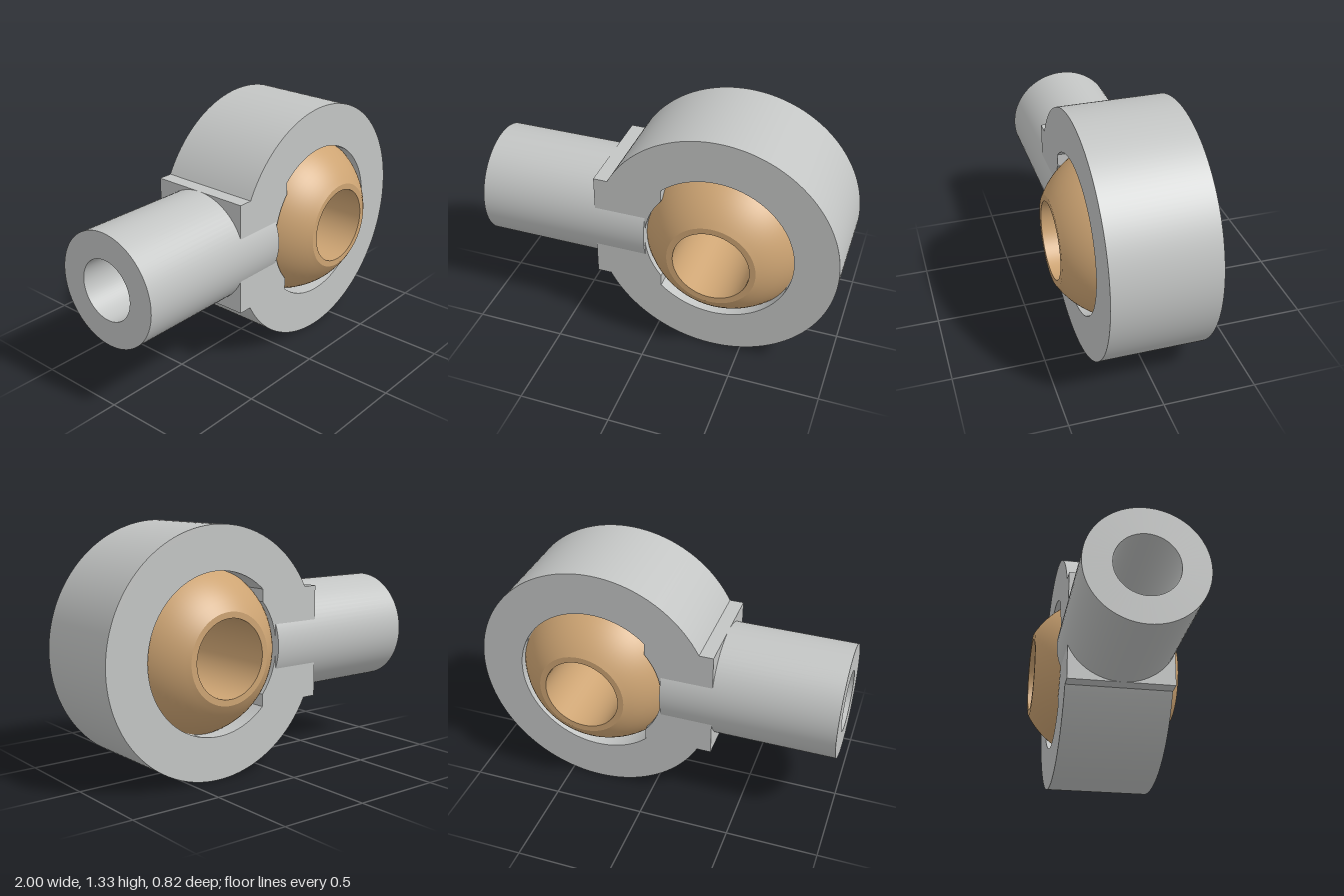
import * as THREE from 'three';
import { toCreasedNormals } from 'three/addons/utils/BufferGeometryUtils.js';

const EYE_X = 0.333, AXIS_Y = 0.667;   // centre of the eye
const HALF_Z = 0.285;                  // half thickness of the housing

// Closed solid of revolution about y with sharp edges kept
function turned(points) {
  const profile = points.map(([r, h]) => new THREE.Vector2(r, h));
  return toCreasedNormals(new THREE.LatheGeometry(profile, 80), 0.5);
}

export function createModel() {
  const group = new THREE.Group();
  const steel = new THREE.MeshStandardMaterial({ color: 0xc3c5c4 });
  const bronze = new THREE.MeshStandardMaterial({ color: 0xcda473 });

  const add = (name, geometry, material, x) => {
    const mesh = new THREE.Mesh(geometry, material);
    mesh.name = name;
    mesh.position.set(x, AXIS_Y, 0);
    group.add(mesh);
  };

  // Eye housing: round ring merged with a square neck
  const R = 0.667, neckH = 0.31, neckX = -0.668;
  const join = Math.PI - Math.asin(neckH / R);
  const outline = new THREE.Shape();
  outline.moveTo(neckX, neckH);
  outline.lineTo(neckX, -neckH);
  outline.absarc(0, 0, R, -join, join, false);
  outline.closePath();

  // Stepped opening: narrower where the neck reaches in towards the ball
  const stepX = -0.293, wide = 0.432, narrow = 0.385;
  const a = Math.acos(stepX / wide), b = Math.acos(stepX / narrow);
  const opening = new THREE.Path();
  opening.absarc(0, 0, wide, -a, a, false);
  opening.absarc(0, 0, narrow, b, 2 * Math.PI - b, false);
  opening.closePath();
  outline.holes.push(opening);

  const housing = new THREE.ExtrudeGeometry(outline, {
    depth: 2 * HALF_Z, bevelEnabled: false, curveSegments: 72,
  });
  housing.translate(0, 0, -HALF_Z);
  add('eyeHousing', toCreasedNormals(housing, 0.4), steel, EYE_X);

  // Shank with a blind bore, pointing to -x
  const shank = turned([
    [0, 0.05], [0.31, 0.05], [0.31, 1], [0.165, 1], [0.165, 0.335], [0, 0.335],
  ]);
  shank.rotateZ(Math.PI / 2);
  add('shank', shank, steel, 0);

  // Swivel ball: truncated sphere with a through bore
  const ballR = 0.477, flat = 0.412, bore = 0.207;
  const tilt = Math.asin(flat / ballR);
  const profile = [[bore, -flat]];
  for (let i = 0; i <= 32; i++) {
    const t = -tilt + (2 * tilt * i) / 32;
    profile.push([ballR * Math.cos(t), ballR * Math.sin(t)]);
  }
  profile.push([bore, flat], [bore, -flat]);
  const ball = turned(profile);
  ball.rotateX(Math.PI / 2);
  add('swivelBall', ball, bronze, 0.355);

  return group;
}
